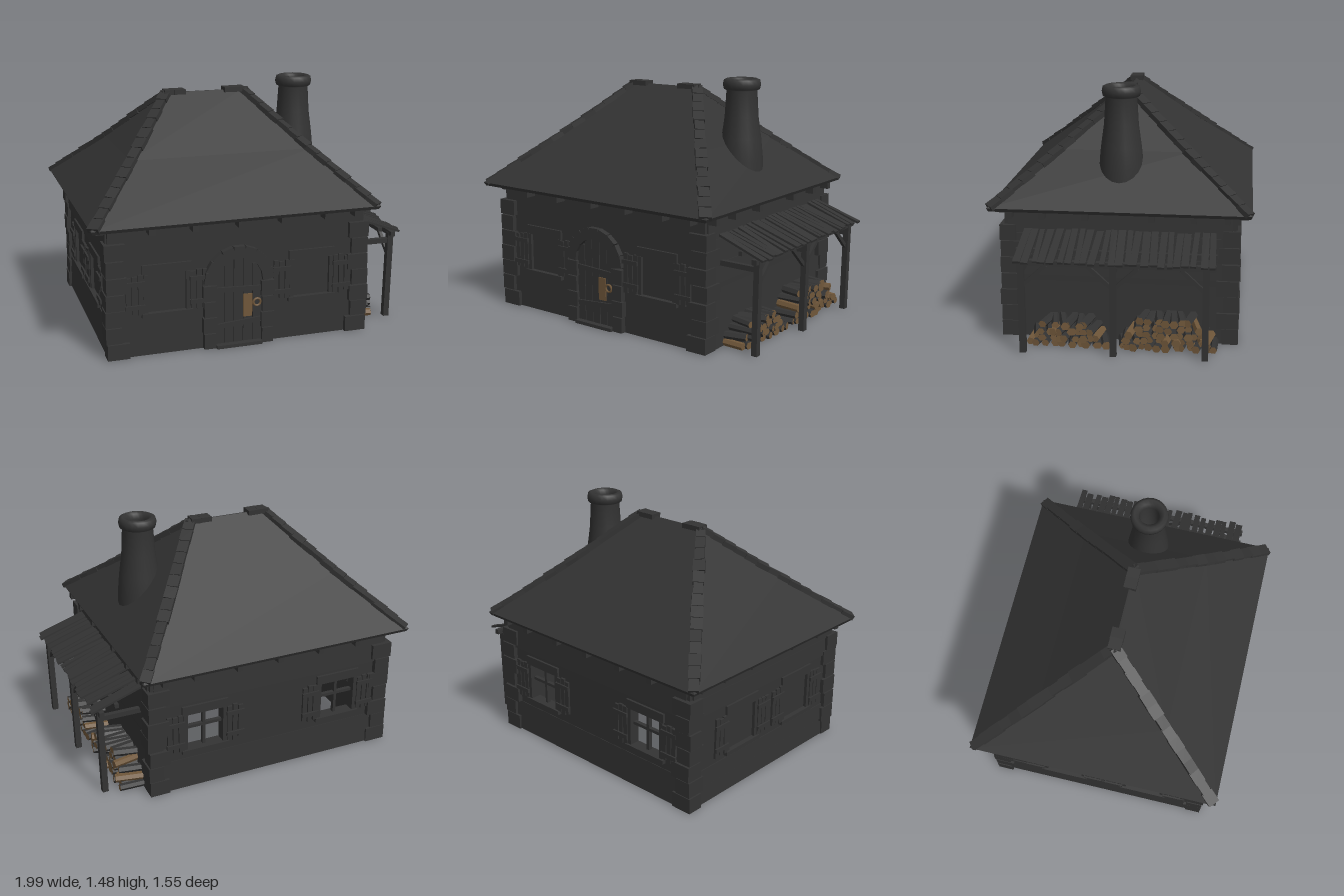
import * as THREE from 'three';

const stone = new THREE.MeshStandardMaterial({ color: 0x333333 });
stone.name = 'charcoal';
stone.side = THREE.DoubleSide;
const cutWood = new THREE.MeshStandardMaterial({ color: 0x70573a });
cutWood.name = 'cut wood';

let seed = 7;
const rnd = (a, b) => {
  seed = (seed * 16807) % 2147483647;
  return a + (b - a) * (seed / 2147483647);
};

function group(parent, name) {
  const g = new THREE.Group();
  g.name = name;
  parent.add(g);
  return g;
}
function add(parent, geo, name, x = 0, y = 0, z = 0, mat = stone) {
  const m = new THREE.Mesh(geo, mat);
  m.name = name;
  m.position.set(x, y, z);
  parent.add(m);
  return m;
}
const box = (p, name, w, h, d, x, y, z, mat) =>
  add(p, new THREE.BoxGeometry(w, h, d), name, x, y, z, mat);

// Square timber running between two points
function beam(parent, name, a, b, w, h) {
  const A = new THREE.Vector3(...a), B = new THREE.Vector3(...b);
  const m = box(parent, name, w, h, A.distanceTo(B), 0, 0, 0);
  m.position.copy(A).add(B).multiplyScalar(0.5);
  m.lookAt(B);
  return m;
}

const CX = -0.105, HX = 0.775, HZ = 0.67, TOP = 0.79;
const WIN = { w: 0.25, y0: 0.26, y1: 0.49 };

// Window with frame, cross bars and two open slatted shutters
function addWindow(wall, x, glazed) {
  const g = group(wall, 'window');
  g.position.x = x;
  const mid = (WIN.y0 + WIN.y1) / 2, h = WIN.y1 - WIN.y0;
  box(g, 'lintel', 0.29, 0.055, 0.07, 0, WIN.y1 + 0.03, 0.03);
  box(g, 'sill', 0.3, 0.025, 0.08, 0, WIN.y0 - 0.012, 0.035);
  for (const s of [-1, 1]) {
    box(g, 'jamb', 0.025, h, 0.065, s * 0.125, mid, 0.03);
    const shutter = group(g, 'shutter');
    shutter.position.set(s * 0.19, mid, 0.06);
    for (const e of [-0.036, 0, 0.036])
      box(shutter, 'shutterBoard', 0.03, h + rnd(-0.02, 0.02), 0.014, e, 0, 0).rotation.z = rnd(-0.03, 0.03);
    for (const e of [-0.07, 0.07])
      box(shutter, 'shutterRail', 0.115, 0.025, 0.014, 0, e, 0.01);
  }
  box(g, 'mullion', 0.018, h, 0.025, 0, mid, 0.025);
  box(g, 'transom', 0.25, 0.018, 0.025, 0, mid + 0.02, 0.025);
  if (glazed) box(g, 'closedPane', 0.25, h, 0.008, 0, mid, 0.04);
}

// Wall panel with window holes, facing local +z
function addWall(parent, name, half, out, cx, angle, windows, glazed, bands) {
  const g = group(parent, name);
  g.rotation.y = angle;
  g.position.set(cx + Math.sin(angle) * (out - 0.05), 0, Math.cos(angle) * (out - 0.05));
  const s = new THREE.Shape();
  s.moveTo(-half, 0).lineTo(half, 0).lineTo(half, TOP).lineTo(-half, TOP).closePath();
  for (const x of windows) {
    const p = new THREE.Path(), w = WIN.w / 2;
    p.moveTo(x - w, WIN.y0).lineTo(x - w, WIN.y1).lineTo(x + w, WIN.y1).lineTo(x + w, WIN.y0).closePath();
    s.holes.push(p);
  }
  add(g, new THREE.ExtrudeGeometry(s, { depth: 0.05, bevelEnabled: false }), 'wallPanel');
  for (const x of windows) addWindow(g, x, glazed);
  // Heavy horizontal timbers, leaning slightly outwards
  for (const [y0, y1] of bands)
    box(g, 'wallTimber', half * 2 - 0.04, y1 - y0 - 0.006, 0.025, 0, (y0 + y1) / 2, 0.047).rotation.x = -0.06;
  return g;
}

// Hipped roof from stacked rectangles [x0, x1, half depth, y]
function roofGeometry() {
  const rings = [
    [-0.975, 0.73, 0.75, 0.775], [-0.985, 0.74, 0.76, 0.795],
    [-0.675, 0.44, 0.385, 1.085], [-0.36, 0.13, 0.004, 1.405]
  ].map(([a, b, d, y]) => [[a, y, d], [b, y, d], [b, y, -d], [a, y, -d]]);
  const v = [];
  const quad = (a, b, c, d) => [a, b, c, a, c, d].forEach(p => v.push(...p));
  for (let i = 0; i < 3; i++)
    for (let k = 0; k < 4; k++) {
      const n = (k + 1) % 4;
      quad(rings[i][k], rings[i][n], rings[i + 1][n], rings[i + 1][k]);
    }
  quad(rings[0][3], rings[0][2], rings[0][1], rings[0][0]);
  quad(...rings[3]);
  const geo = new THREE.BufferGeometry();
  geo.setAttribute('position', new THREE.Float32BufferAttribute(v, 3));
  geo.computeVertexNormals();
  return geo;
}

function addRoof(root) {
  const g = group(root, 'roof');
  add(g, roofGeometry(), 'roofSlopes');
  // Overlapping tiles down each hip
  const N = 14;
  for (const [ex, rx] of [[-0.97, -0.36], [0.725, 0.13]])
    for (const s of [-1, 1]) {
      const path = new THREE.CatmullRomCurve3([
        new THREE.Vector3(ex, 0.795, s * 0.745),
        new THREE.Vector3((ex + rx) / 2, 1.092, s * 0.375),
        new THREE.Vector3(rx, 1.408, 0)]);
      for (let i = 0; i < N; i++) {
        const t = beam(g, 'hipTile', path.getPoint(i / N).toArray(),
          path.getPoint(Math.min(1, (i + 1.1) / N)).toArray(), rnd(0.055, 0.072), 0.03);
        t.rotateX(0.06);
        t.rotateZ(rnd(-0.1, 0.1));
      }
    }
  // Short caps at both ends of the ridge
  for (const x of [-0.34, -0.28, 0.04, 0.1])
    box(g, 'ridgeCap', 0.07, 0.03, rnd(0.07, 0.09), x, 1.408, 0).rotation.z = rnd(-0.06, 0.06);
  // Joist ends under the eaves
  for (const s of [-1, 1]) {
    for (const x of [-0.64, -0.39, -0.12, 0.14, 0.41, 0.6])
      box(g, 'joistEnd', 0.035, 0.04, 0.1, x, 0.758, s * 0.69);
    for (const z of [-0.62, -0.43, -0.19, 0.19, 0.44, 0.63])
      box(g, 'joistEnd', 0.1, 0.04, 0.035, CX + s * 0.785, 0.758, z);
  }
  // Round chimney with a rolled, hollow rim
  const profile = [[0.135, 0.85], [0.132, 1.0], [0.12, 1.12], [0.102, 1.25], [0.092, 1.41], [0.108, 1.418],
    [0.114, 1.445], [0.108, 1.472], [0.09, 1.48], [0.066, 1.47], [0.058, 1.44], [0.056, 1.25], [0, 1.25]];
  add(g, new THREE.LatheGeometry(profile.map(p => new THREE.Vector2(...p)), 20), 'chimney', 0.467, 0, 0.01);
}

function addDoor(root) {
  const g = group(root, 'door');
  g.position.set(-0.118, 0, 0.645);
  // Stone surround: stacked jambs and an arch of wedge stones
  for (const s of [-1, 1])
    for (let i = 0; i < 4; i++)
      box(g, 'jambStone', 0.07 + (i % 2) * 0.012, 0.092, 0.11, s * 0.177, 0.048 + i * 0.098, 0.005);
  for (let i = 0; i < 9; i++) {
    const a = ((i + 0.5) / 9) * Math.PI;
    box(g, 'archStone', 0.07, 0.068, 0.11, Math.cos(a) * 0.177, 0.4 + Math.sin(a) * 0.177, 0.005).rotation.z = a;
  }
  // Vertical planks trimmed to the arch
  for (let i = 0; i < 5; i++) {
    const x = (i - 2) * 0.058, h = 0.4 + Math.sqrt(0.15 ** 2 - x * x);
    box(g, 'doorPlank', 0.054, h, 0.07, x, h / 2, rnd(0, 0.006));
  }
  for (const [y, t] of [[0.14, 0.08], [0.35, -0.04]])
    box(g, 'doorBatten', 0.27, 0.03, 0.02, 0, y, 0.04).rotation.z = t;
  box(g, 'lockPlate', 0.055, 0.14, 0.006, 0.055, 0.245, 0.045, cutWood);
  add(g, new THREE.TorusGeometry(0.022, 0.007, 6, 12), 'ringHandle', 0.11, 0.26, 0.052, cutWood);
  box(g, 'doorstep', 0.28, 0.02, 0.08, 0, 0.01, 0.035);
}

function addShed(root) {
  const g = group(root, 'woodShed');
  const posts = [0.525, 0.005, -0.515];
  for (const z of posts) {
    beam(g, 'post', [0.915, 0, z], [0.925, 0.55, z], 0.036, 0.036);
    beam(g, 'tie', [0.66, 0.5, z], [0.93, 0.5, z], 0.03, 0.03);
    for (const s of [-1, 1])
      if (Math.abs(z + s * 0.15) < 0.5)
        beam(g, 'brace', [0.918, 0.4, z], [0.918, 0.53, z + s * 0.14], 0.02, 0.022);
  }
  beam(g, 'outerPurlin', [0.925, 0.548, -0.57], [0.925, 0.548, 0.57], 0.03, 0.03);
  beam(g, 'innerPurlin', [0.835, 0.585, -0.57], [0.835, 0.585, 0.57], 0.025, 0.025);
  // Uneven roof slats
  const n = 24;
  for (let i = 0; i < n; i++) {
    const z = -0.54 + (1.07 * i) / (n - 1);
    beam(g, 'roofSlat', [0.66, 0.672 + rnd(-0.006, 0.006), z + rnd(-0.008, 0.008)],
      [rnd(0.965, 0.995), 0.562 + rnd(-0.006, 0.006), z + rnd(-0.012, 0.012)], rnd(0.028, 0.045), 0.013);
  }
  // Two heaps of split logs
  const heap = group(g, 'firewood');
  for (const [z0, z1, rows] of [[0.07, 0.5, 4], [-0.56, -0.03, 5]])
    for (let r = 0; r < rows; r++) {
      const a = z0 + r * 0.035, b = z1 - r * 0.03;
      const count = Math.round((b - a) / 0.046);
      for (let i = 0; i <= count; i++) {
        const len = rnd(0.14, 0.18);
        const side = rnd(0, 1) < 0.15 ? cutWood : stone;
        const log = add(heap, new THREE.CylinderGeometry(0.027, 0.027, len, 6).toNonIndexed(), 'log',
          0.675 + len / 2, 0.024 + r * 0.037, a + ((b - a) * i) / count + rnd(-0.006, 0.006),
          [side, cutWood, cutWood]);
        log.geometry.computeVertexNormals();
        log.scale.set(rnd(0.75, 1), 1, rnd(0.8, 1.1));
        log.rotation.set(rnd(0, 3), 0, Math.PI / 2, 'ZYX');
        log.rotation.x = rnd(-0.25, 0.25);
      }
    }
}

function addCornerStones(root) {
  const g = group(root, 'cornerStones');
  for (const sx of [-1, 1])
    for (const sz of [-1, 1])
      for (let i = 0; i < 7; i++) {
        const even = i % 2 === 0;
        const w = (even ? 0.125 : 0.1) + rnd(-0.008, 0.008), d = (even ? 0.1 : 0.125) + rnd(-0.008, 0.008);
        box(g, 'cornerStone', w, 0.093, d,
          CX + sx * (0.8 - w / 2 + rnd(-0.006, 0.006)), 0.047 + i * 0.099, sz * (0.697 - d / 2 + rnd(-0.006, 0.004)));
      }
}

export function createModel() {
  const root = new THREE.Group();
  root.name = 'cottage';
  addWall(root, 'frontWall', HX, HZ, CX, 0, [-0.44, 0.445], true, []);
  addWall(root, 'backWall', HX, HZ, CX, Math.PI, [-0.44, 0.445], false, [[0, 0.2], [0.57, 0.76]]);
  addWall(root, 'leftWall', HZ, HX, CX, Math.PI / 2, [], false, [[0, 0.38], [0.38, 0.5], [0.5, 0.64], [0.64, 0.77]]);
  addWall(root, 'rightWall', HZ, HX, CX, -Math.PI / 2, [-0.22, 0.3], true, [[0, 0.11], [0.11, 0.22], [0.56, 0.67], [0.67, 0.77]]);
  addCornerStones(root);
  addDoor(root);
  addRoof(root);
  addShed(root);
  return root;
}
